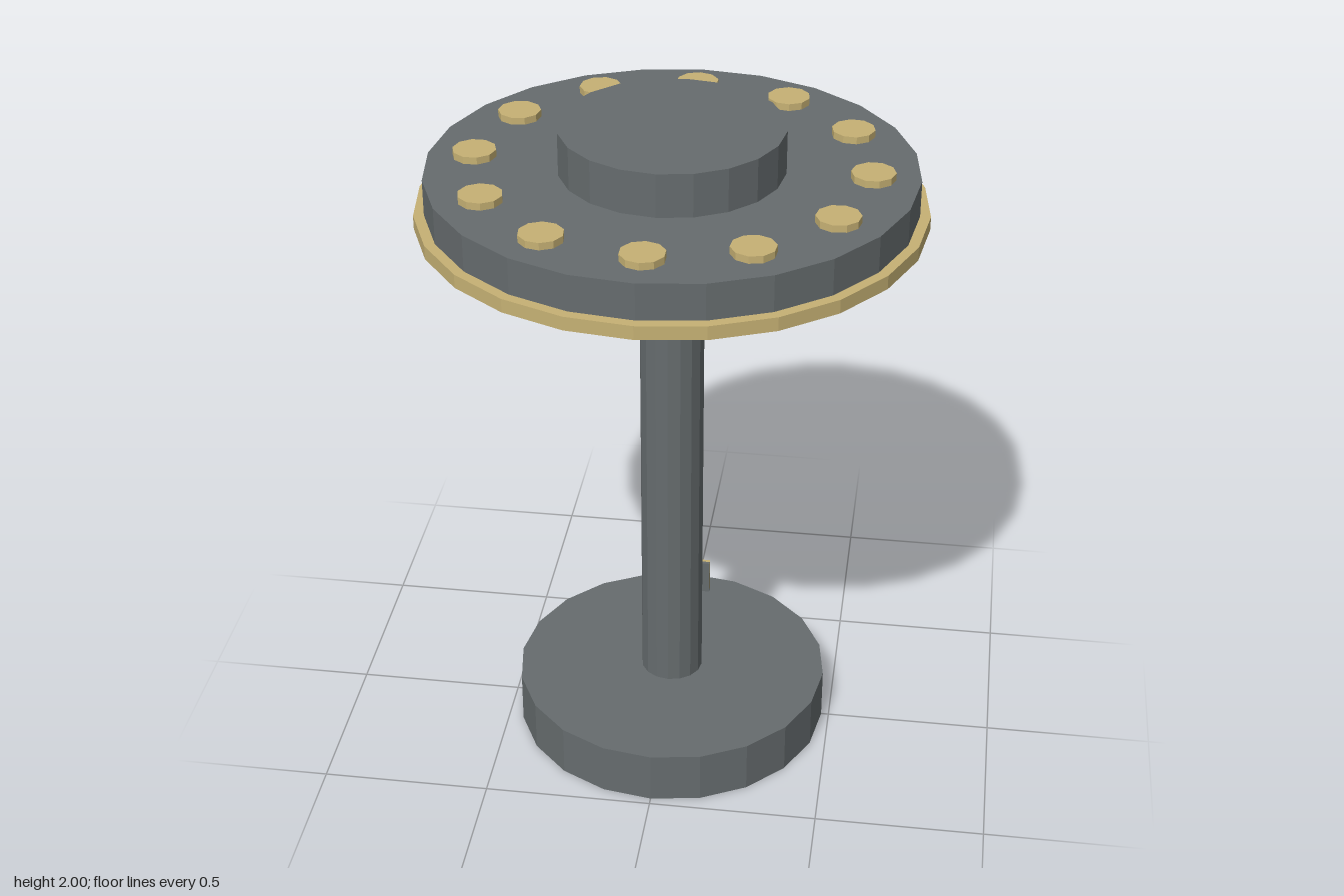
import * as THREE from 'three';

export function createModel() {
  const model = new THREE.Group();
  model.name = 'pedestalStand';

  const grey = new THREE.MeshStandardMaterial({ color: 0x666c6e, flatShading: true });
  grey.name = 'slate grey';
  const gold = new THREE.MeshStandardMaterial({ color: 0xc6b174, flatShading: true });
  gold.name = 'brass';

  const add = (name, geometry, material, parent = model) => {
    const mesh = new THREE.Mesh(geometry, material);
    mesh.name = name;
    parent.add(mesh);
    return mesh;
  };

  // Upright disc or post between two heights
  const disc = (name, radius, y0, y1, sides, material, parent) => {
    const geometry = new THREE.CylinderGeometry(radius, radius, y1 - y0, sides);
    const mesh = add(name, geometry, material, parent);
    mesh.position.y = (y0 + y1) / 2;
    return mesh;
  };

  // Foot, post and round top
  disc('base', 0.477, 0, 0.16, 20, grey);
  disc('post', 0.094, 0.16, 1.73, 16, grey);
  disc('trimRing', 0.72, 1.727, 1.767, 24, gold);
  disc('topDisc', 0.69, 1.767, 1.873, 24, grey);
  disc('hub', 0.318, 1.873, 2, 20, grey);

  // Ring of studs, each turned to face outwards
  const studs = new THREE.Group();
  studs.name = 'studs';
  model.add(studs);
  for (let i = 0; i < 12; i++) {
    const a = (i / 12) * Math.PI * 2;
    const stud = disc('stud', 0.0625, 1.865, 1.894, 10, gold, studs);
    stud.position.x = Math.sin(a) * 0.557;
    stud.position.z = Math.cos(a) * 0.557;
    stud.rotation.y = a;
  }

  // Two-tone plaque on the back of the post: a thin front and back layer
  const plaque = new THREE.Group();
  plaque.name = 'plaque';
  plaque.position.set(0, 0.429, -0.098);
  model.add(plaque);
  const layer = (name, x0, x1, z, material) => {
    const mesh = add(name, new THREE.BoxGeometry(x1 - x0, 0.106, 0.01), material, plaque);
    mesh.position.set((x0 + x1) / 2, 0, z);
  };
  layer('plaqueBackGrey', -0.105, 0.03, -0.005, grey);
  layer('plaqueBackBrass', 0.03, 0.105, -0.005, gold);
  layer('plaqueFrontBrass', -0.105, -0.03, 0.005, gold);
  layer('plaqueFrontGrey', -0.03, 0.105, 0.005, grey);

  return model;
}
